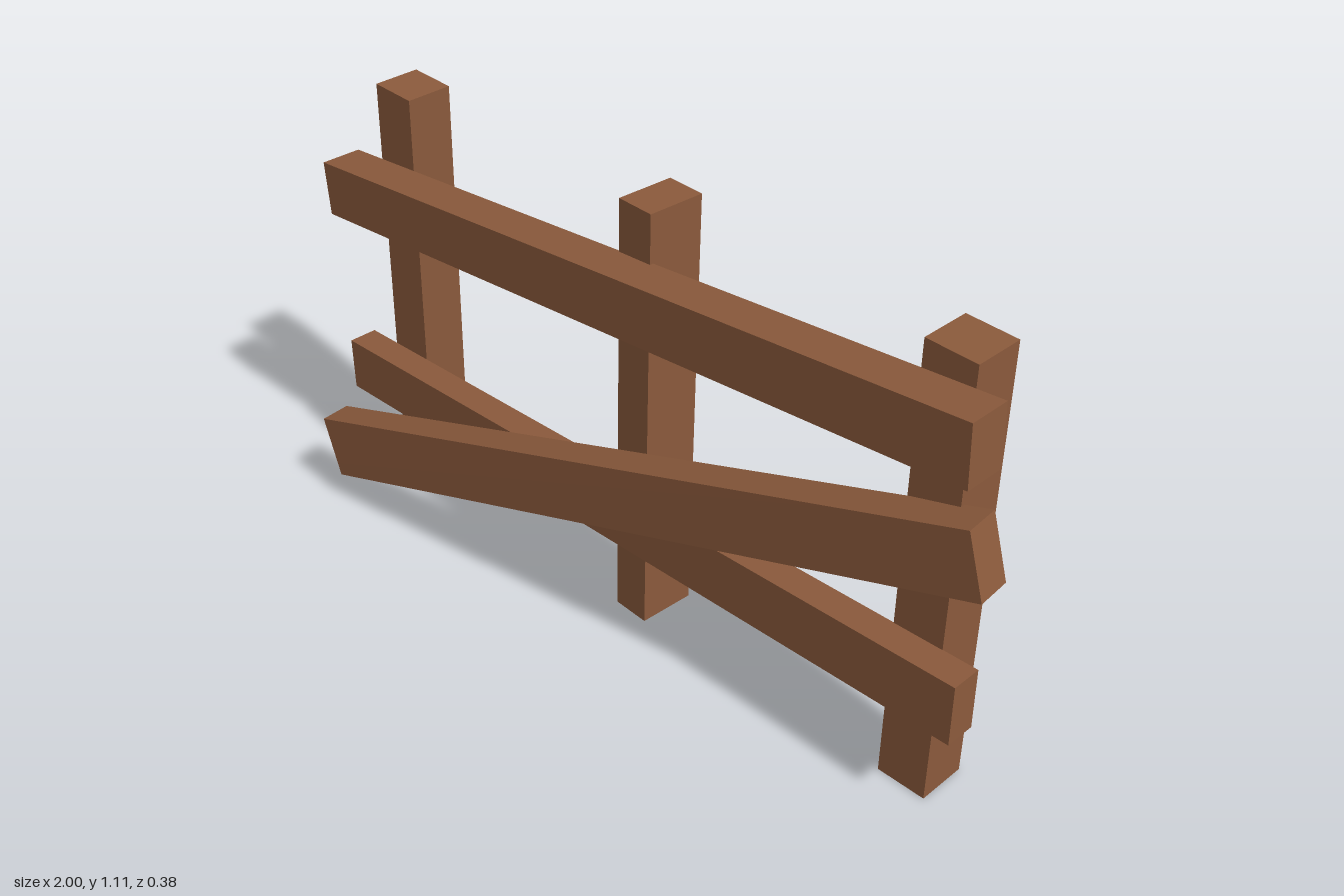
import * as THREE from 'three';

// Rough-hewn beam: a box whose two ends each have a centre, a full "up" vector and a full "depth" vector
function beam(name, material, start, end) {
  const geo = new THREE.BoxGeometry(1, 1, 1);
  const pos = geo.attributes.position;
  for (let i = 0; i < pos.count; i++) {
    const { c, up, depth } = pos.getX(i) < 0 ? start : end;
    const u = pos.getY(i), v = pos.getZ(i);
    pos.setXYZ(i, ...c.map((p, k) => p + up[k] * u + depth[k] * v));
  }
  geo.computeVertexNormals();
  const mesh = new THREE.Mesh(geo, material);
  mesh.name = name;
  return mesh;
}

export function createModel() {
  const group = new THREE.Group();
  group.name = 'fence';
  const wood = new THREE.MeshStandardMaterial({ color: 0x8b5a3c });
  wood.name = 'brown wood';

  // Upright posts, each leaning very slightly
  const posts = [
    ['rightPost', [-0.847, 0, -0.112], [-0.84, 1.103, -0.112], [-0.125, 0.006, 0], [0.003, 0, 0.125]],
    ['middlePost', [-0.002, 0, -0.108], [0, 1.104, -0.114], [-0.1, 0.001, -0.005], [-0.007, 0, 0.148]],
    ['leftPost', [0.822, 0, -0.109], [0.817, 1.103, -0.109], [-0.125, 0.005, 0], [0, 0, 0.127]],
  ];
  for (const [name, foot, top, side, depth] of posts) {
    group.add(beam(name, wood,
      { c: foot, up: [side[0], 0, side[2]], depth },
      { c: top, up: side, depth }));
  }

  // Upper rail, rising toward +x
  group.add(beam('upperRail', wood,
    { c: [-0.992, 0.833, 0.006], up: [-0.013, 0.137, 0], depth: [0, 0, 0.107] },
    { c: [0.953, 0.983, 0.008], up: [-0.008, 0.145, 0], depth: [0, 0, 0.105] }));

  // Lower rail, almost level
  group.add(beam('lowerRail', wood,
    { c: [-0.997, 0.305, -0.008], up: [-0.003, 0.141, 0], depth: [0, 0, 0.077] },
    { c: [0.972, 0.347, -0.008], up: [-0.003, 0.153, 0], depth: [0, 0, 0.077] }));

  // Loose diagonal rail, its low end swung forward
  group.add(beam('diagonalRail', wood,
    { c: [-0.906, 0.156, 0.148], up: [-0.05, 0.155, 0.003], depth: [0.008, 0, 0.08] },
    { c: [0.971, 0.724, -0.02], up: [-0.045, 0.153, 0.004], depth: [0.007, 0, 0.088] }));

  return group;
}
